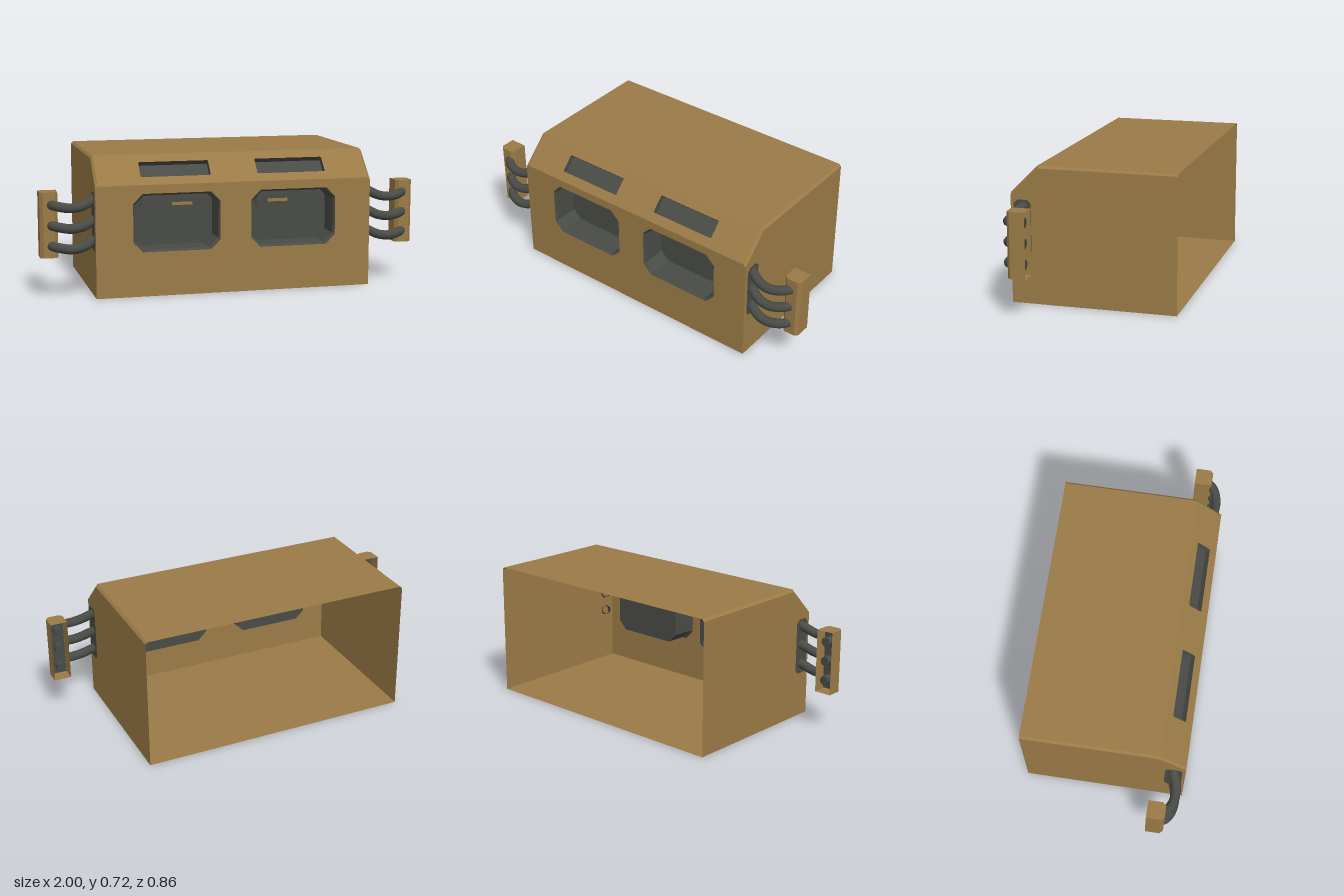
import * as THREE from 'three';

const tan = new THREE.MeshStandardMaterial({ color: 0x9b7b47, side: THREE.DoubleSide });
tan.name = 'tan casing';
const dark = new THREE.MeshStandardMaterial({ color: 0x494b46, side: THREE.DoubleSide });
dark.name = 'dark grey';

const W = 0.73, H = 0.715, D = 0.43, B = 0.012; // half width, height, half depth, top edge bevel

function mesh(parent, name, geometry, material, x = 0, y = 0, z = 0) {
  const m = new THREE.Mesh(geometry, material);
  m.name = name;
  m.position.set(x, y, z);
  parent.add(m);
  return m;
}

// Flat-faced skin between successive rings of [x, y, z] points
function loft(rings, closed = true) {
  const pos = [];
  for (let r = 0; r + 1 < rings.length; r++) {
    const a = rings[r], b = rings[r + 1], n = a.length;
    for (let i = 0; i < (closed ? n : n - 1); i++) {
      const j = (i + 1) % n;
      pos.push(...a[i], ...a[j], ...b[j], ...a[i], ...b[j], ...b[i]);
    }
  }
  const g = new THREE.BufferGeometry();
  g.setAttribute('position', new THREE.Float32BufferAttribute(pos, 3));
  g.computeVertexNormals();
  return g;
}

// Rectangle with cut corners
function octagon(cx, cy, w, h, c) {
  return [[w - c, -h], [w, -h + c], [w, h - c], [w - c, h], [-w + c, h], [-w, h - c], [-w, -h + c], [-w + c, -h]]
    .map(([x, y]) => [cx + x, cy + y]);
}
const toShape = (pts) => new THREE.Shape(pts.map(([x, y]) => new THREE.Vector2(x, y)));
const atZ = (pts, z) => pts.map(([x, y]) => [x, y, z]);

function panel(outline, holes = []) {
  const s = toShape(outline);
  s.holes = holes.map((h) => new THREE.Path(h.map(([x, y]) => new THREE.Vector2(x, y))));
  return new THREE.ShapeGeometry(s);
}

function pill(w, h, depth) {
  const s = new THREE.Shape();
  const r = h * 0.9, k = w - r;
  s.absarc(k, 0, r, -Math.PI / 2, Math.PI / 2);
  s.absarc(-k, 0, r, Math.PI / 2, Math.PI * 1.5);
  return new THREE.ExtrudeGeometry(s, { depth, bevelEnabled: false, curveSegments: 6 });
}

function createCasing() {
  const g = new THREE.Group();
  g.name = 'casing';
  const w = W - B;

  // Floor and roof, with the back left open
  mesh(g, 'floor', new THREE.PlaneGeometry(2 * W, 2 * D).rotateX(Math.PI / 2), tan);
  mesh(g, 'roof', new THREE.PlaneGeometry(2 * w, 0.72).rotateX(-Math.PI / 2), tan, 0, H, -0.07);

  // Side walls and their bevelled upper edges
  const low = [[-D, H - B], [0.284, H - B], [D, 0.562]];
  const high = [[-D, H], [0.29, H], [D, 0.575]];
  for (const s of [-1, 1]) {
    const wall = panel([[-D, 0], [D, 0], [D, 0.562], [0.284, H - B], [-D, H - B]]);
    mesh(g, 'sideWall', wall.rotateY(-Math.PI / 2).scale(1, 1, 1), tan, s * W);
    const a = low.map(([z, y]) => [s * W, y, z]), b = high.map(([z, y]) => [s * w, y, z]);
    mesh(g, 'edgeBevel', loft([a, b], false), tan);
  }

  // Front wall with two recessed bays
  const bays = [-0.31, 0.31].map((x) => octagon(x, 0.38, 0.228, 0.15, 0.05));
  mesh(g, 'frontWall', panel([[-W, 0], [W, 0], [W, 0.562], [w, 0.575], [-w, 0.575], [-W, 0.562]], bays), tan, 0, 0, D);
  for (const s of [-1, 1]) {
    const x = s * 0.31;
    const rim = octagon(x, 0.38, 0.228, 0.15, 0.05);
    const inner = octagon(x, 0.38, 0.218, 0.14, 0.047);
    mesh(g, 'bayLining', loft([atZ(rim, D), atZ(inner, 0.418), atZ(inner, 0.29)]), dark);
    mesh(g, 'bayBack', panel(inner), dark, 0, 0, 0.29);
    mesh(g, 'slotPlate', pill(0.168, 0.044, 0.015), dark, x, 0.45, 0.29);
    mesh(g, 'slot', pill(0.113, 0.012, 0.005), dark, x, 0.456, 0.305);
    mesh(g, 'slotInset', new THREE.BoxGeometry(0.11, 0.016, 0.004), tan, s * 0.257, 0.456, 0.31);
  }

  // Sloping brow with two shallow slots
  const brow = new THREE.Group();
  brow.name = 'brow';
  brow.position.set(0, 0.645, 0.36);
  brow.rotation.x = -Math.PI / 4;
  g.add(brow);
  const slots = [-0.308, 0.308].map((x) => octagon(x, 0, 0.183, 0.048, 0.004));
  mesh(brow, 'browPanel', panel([[-w, -0.099], [w, -0.099], [w, 0.099], [-w, 0.099]], slots), tan);
  for (const s of slots) {
    mesh(brow, 'browSlotLining', loft([atZ(s, 0), atZ(s, -0.03)]), dark);
    mesh(brow, 'browSlotBack', panel(s), dark, 0, 0, -0.03);
  }
  return g;
}

function createSideGrip(s) {
  const g = new THREE.Group();
  g.name = s > 0 ? 'leftHoseBlock' : 'rightHoseBlock';

  // Channel block, open at the rear
  const plan = [[0.908, 0.26], [0.908, 0.338], [0.925, 0.355], [0.983, 0.355], [1, 0.338], [1, 0.26]]
    .map(([x, z]) => [s * x, z]);
  const ring = (y) => plan.map(([x, z]) => [x, y, z]);
  mesh(g, 'blockShell', loft([ring(0.207), ring(0.543)], false), tan);
  for (const y of [0.207, 0.543]) {
    mesh(g, 'blockCap', panel(plan.map(([x, z]) => [x, -z])).rotateX(-Math.PI / 2), tan, 0, y);
  }
  mesh(g, 'blockLining', new THREE.BoxGeometry(0.08, 0.32, 0.008), dark, s * 0.954, 0.375, 0.325);

  // Dark mounting plate on the casing wall
  mesh(g, 'hoseMount', panel(octagon(0, 0, 0.045, 0.15, 0.02)).rotateY(s * Math.PI / 2), dark, s * (W + 0.003), 0.39, 0.368);

  // Three sagging hoses
  for (const y of [0.27, 0.375, 0.48]) {
    const path = new THREE.CatmullRomCurve3([
      [0.7, 0.035, 0.35], [0.74, 0.018, 0.373], [0.79, -0.006, 0.39], [0.845, -0.015, 0.393],
      [0.9, -0.009, 0.38], [0.938, -0.002, 0.352], [0.95, 0, 0.31], [0.95, 0, 0.275],
    ].map(([x, dy, z]) => new THREE.Vector3(s * x, y + dy, z)));
    mesh(g, 'hose', new THREE.TubeGeometry(path, 28, 0.025, 12), dark);
    mesh(g, 'hoseEnd', new THREE.CircleGeometry(0.025, 12).rotateY(Math.PI), dark, s * 0.95, y, 0.275);
  }
  return g;
}

export function createModel() {
  const model = new THREE.Group();
  model.name = 'equipmentHousing';
  model.add(createCasing(), createSideGrip(1), createSideGrip(-1));
  return model;
}
